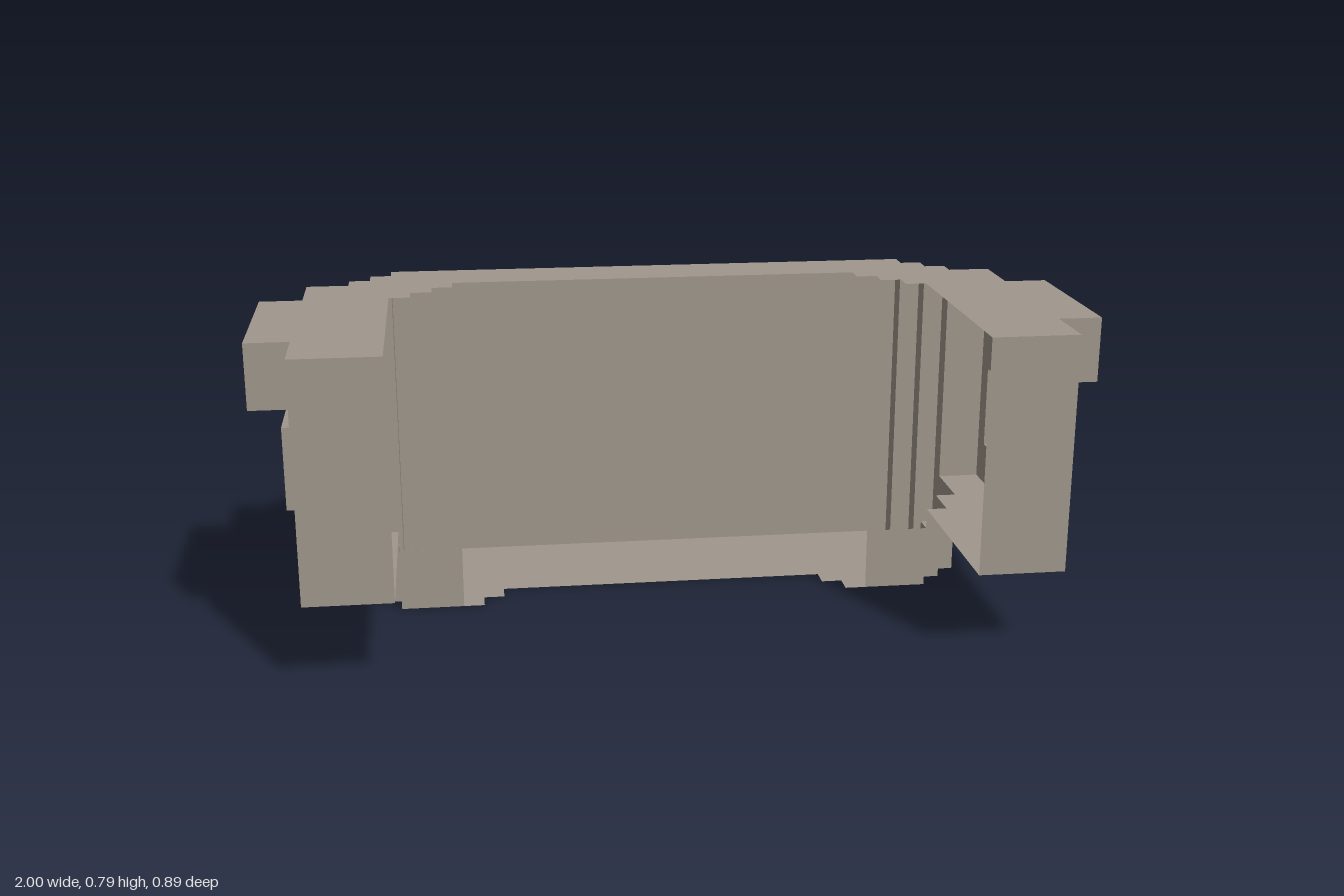
import * as THREE from 'three';
import { mergeGeometries } from 'three/addons/utils/BufferGeometryUtils.js';

const U = 1 / 19; // one block step

// Vertical wall strip along an [x, z] path, facing outward when the path runs counterclockwise from above
function wall(path, y0, y1) {
  const quads = path.slice(1).map(([bx, bz], i) => {
    const [ax, az] = path[i];
    const g = new THREE.PlaneGeometry(Math.hypot(bx - ax, bz - az), y1 - y0);
    g.rotateY(Math.atan2(-(bz - az), bx - ax));
    return g.translate((ax + bx) / 2, (y0 + y1) / 2, (az + bz) / 2);
  });
  return mergeGeometries(quads);
}

// Flat sheet with an [x, z] outline at height y, facing up or down
function sheet(outline, y, up) {
  const s = up ? -1 : 1;
  const shape = new THREE.Shape(outline.map(([x, z]) => new THREE.Vector2(x, s * z)));
  return new THREE.ShapeGeometry(shape).rotateX(s * Math.PI / 2).translate(0, y, 0);
}

const mirrored = (pts) => [...pts, ...pts.map(([x, z]) => [-x, z]).reverse()];
const rect = (x0, x1, z0, z1) => [[x0, z0], [x1, z0], [x1, z1], [x0, z1]];

export function createModel() {
  const model = new THREE.Group();
  model.name = 'steppedShell';
  const stone = new THREE.MeshStandardMaterial({ color: 0xa0978c, side: THREE.DoubleSide });
  stone.name = 'warm grey';

  const add = (parent, name, ...geometries) => {
    const mesh = new THREE.Mesh(mergeGeometries(geometries.map((g) => g.toNonIndexed())), stone);
    mesh.name = name;
    parent.add(mesh);
  };

  const shell = new THREE.Group();
  shell.name = 'shell';
  shell.scale.setScalar(U);
  model.add(shell);

  // Stepped rear corner, shared by the back wall and both sheets
  const corner = [[15, -6.5], [14, -6.5], [14, -7.5], [13, -7.5], [13, -8.5]];

  add(shell, 'backWall', wall(mirrored([[15, -5.5], ...corner]), 0, 15));

  add(shell, 'topSheet', sheet(mirrored([
    [10, -5.5], [10, -4.5], [11, -4.5], [11, -3.5], [12, -3.5], [12, -2.5], [13, -2.5],
    [13, 8.5], [17, 8.5], [17, 5.5], [19, 5.5], [19, -2.5], [17, -2.5], [17, -5.5], [15, -5.5],
    ...corner]), 15, true));

  add(shell, 'baseSheet', sheet(mirrored([
    [8, -2.5], [8, -1.5], [9, -1.5], [9, -0.5], [13, -0.5], [13, -1.5],
    [14, -1.5], [14, -2.5], [15, -2.5], ...corner]), 0, false));

  for (const side of [1, -1]) {
    const arm = new THREE.Group();
    arm.name = side > 0 ? 'leftArm' : 'rightArm';
    arm.scale.x = side;
    shell.add(arm);

    // Outer face, notched at the lug and pierced behind the raised panel
    const face = new THREE.Shape([
      [-8.5, 4], [5.5, 4], [5.5, 15], [2.5, 15], [2.5, 12], [-5.5, 12], [-5.5, 15], [-8.5, 15],
    ].map(([x, y]) => new THREE.Vector2(x, y)));
    face.holes.push(new THREE.Path(
      [[-1.5, 6], [-1.5, 10], [4.5, 10], [4.5, 6]].map(([x, y]) => new THREE.Vector2(x, y))));
    add(arm, 'armOuterFace',
      new THREE.ShapeGeometry(face).rotateY(Math.PI / 2).translate(17, 0, 0));

    // Front and rear ends, and the floor cut around the base
    add(arm, 'armEnds',
      wall([[13, 8.5], [17, 8.5]], 4, 15),
      wall([[17, -5.5], [15, -5.5]], 4, 15));
    add(arm, 'armFloor', sheet([
      [13, 8.5], [17, 8.5], [17, -5.5], [15, -5.5], [15, -2.5],
      [14, -2.5], [14, -0.5], [13, -0.5]], 4, false));

    // Hollow lug at the top edge
    add(arm, 'topLug',
      wall([[17, 5.5], [19, 5.5], [19, -2.5], [17, -2.5]], 12, 15),
      sheet(rect(17, 19, -2.5, 5.5), 12, false));

    // Hollow raised panel
    add(arm, 'sidePanel',
      wall([[17, 1.5], [18, 1.5], [18, -4.5], [17, -4.5]], 6, 10),
      sheet(rect(17, 18, -4.5, 1.5), 10, true),
      sheet(rect(17, 18, -4.5, 1.5), 6, false));

    // Stepped base walls under the arm
    add(arm, 'baseWall',
      wall([[10, -0.5], [13, -0.5], [13, -1.5], [14, -1.5], [14, -2.5], [15, -2.5], [15, -5.5]], 0, 3),
      wall([[13, -0.5], [14, -0.5], [14, -2.5], [15, -2.5], [15, -5.5]], 3, 4),
      sheet(rect(13, 14, -1.5, -0.5), 3, false));
  }
  return model;
}
